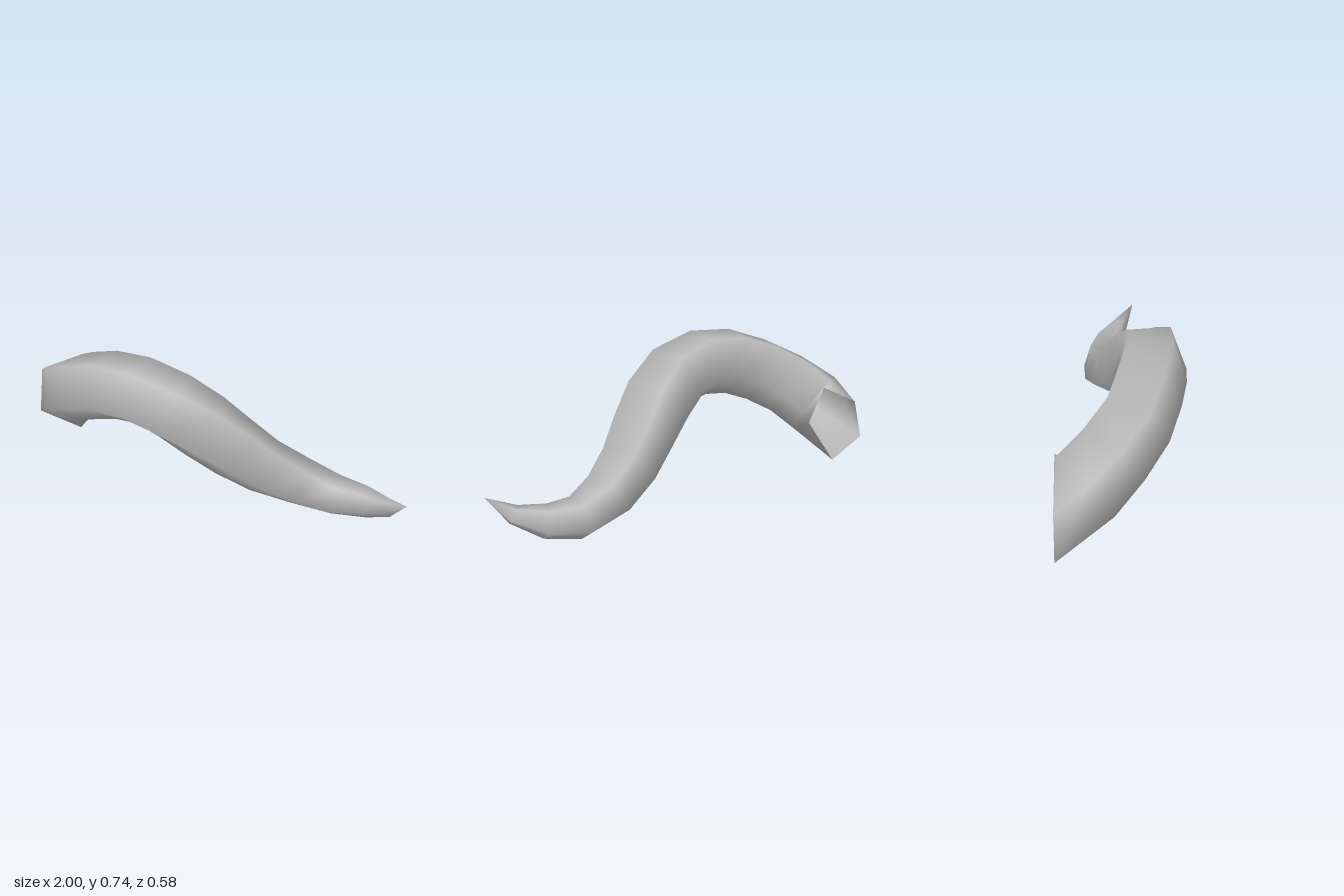
import * as THREE from 'three';

const SIDES = 5;

// Rings along the centre line: x, y, z, radius
const RINGS = [
  [-0.81, 0.28, -0.29, 0.2],
  [-0.77, 0.37, -0.165, 0.178],
  [-0.69, 0.46, -0.06, 0.172],
  [-0.57, 0.535, 0.033, 0.17],
  [-0.425, 0.59, 0.083, 0.17],
  [-0.265, 0.603, 0.115, 0.17],
  [-0.095, 0.555, 0.122, 0.172],
  [0.055, 0.46, 0.09, 0.171],
  [0.19, 0.345, 0.038, 0.16],
  [0.32, 0.235, -0.022, 0.144],
  [0.475, 0.15, -0.08, 0.125],
  [0.64, 0.1, -0.1, 0.104],
  [0.785, 0.117, -0.072, 0.08],
  [0.905, 0.16, -0.005, 0.045],
];
const TIP = new THREE.Vector3(1, 0.24, 0.07);

// Flat open root section (x, y), lying in one plane
const ROOT = [[-1, 0.16], [-0.94, 0.36], [-0.7, 0.48], [-0.6, 0.32], [-0.79, 0.08]];
const ROOT_Z = -0.29;

function tailGeometry() {
  const centres = RINGS.map(([x, y, z]) => new THREE.Vector3(x, y, z));
  centres.push(TIP);
  const up = new THREE.Vector3(0, 1, 0);
  const positions = [];
  const index = [];

  RINGS.forEach(([, , , radius], i) => {
    if (i === 0) {
      ROOT.forEach(([x, y]) => positions.push(x, y, ROOT_Z));
      return;
    }
    // Frame of the ring: outward side and its own up
    const tangent = centres[i + 1].clone().sub(centres[i - 1]).normalize();
    const out = tangent.clone().cross(up).normalize();
    const ringUp = out.clone().cross(tangent);
    const twist = -18 * Math.max(0, 1 - i / 4);
    for (let j = 0; j < SIDES; j++) {
      const angle = THREE.MathUtils.degToRad(-17 + twist + (j * 360) / SIDES);
      const p = centres[i].clone()
        .addScaledVector(out, Math.cos(angle) * radius)
        .addScaledVector(ringUp, Math.sin(angle) * radius);
      positions.push(p.x, p.y, p.z);
    }
  });
  positions.push(TIP.x, TIP.y, TIP.z);

  // Skin between rings, then a fan to the pointed tip
  const last = RINGS.length - 1;
  for (let i = 0; i <= last; i++) {
    for (let j = 0; j < SIDES; j++) {
      const k = (j + 1) % SIDES;
      const a = i * SIDES + j;
      const c = i * SIDES + k;
      if (i === last) index.push(a, RINGS.length * SIDES, c);
      else index.push(a, a + SIDES, c + SIDES, a, c + SIDES, c);
    }
  }

  const geometry = new THREE.BufferGeometry();
  geometry.setAttribute('position', new THREE.Float32BufferAttribute(positions, 3));
  geometry.setIndex(index);
  geometry.computeVertexNormals();
  return geometry;
}

export function createModel() {
  const group = new THREE.Group();
  group.name = 'curvedTail';

  const grey = new THREE.MeshStandardMaterial({ color: 0xb8b8b8, side: THREE.DoubleSide });
  grey.name = 'grey';

  const tail = new THREE.Mesh(tailGeometry(), grey);
  tail.name = 'tail';
  group.add(tail);
  return group;
}
